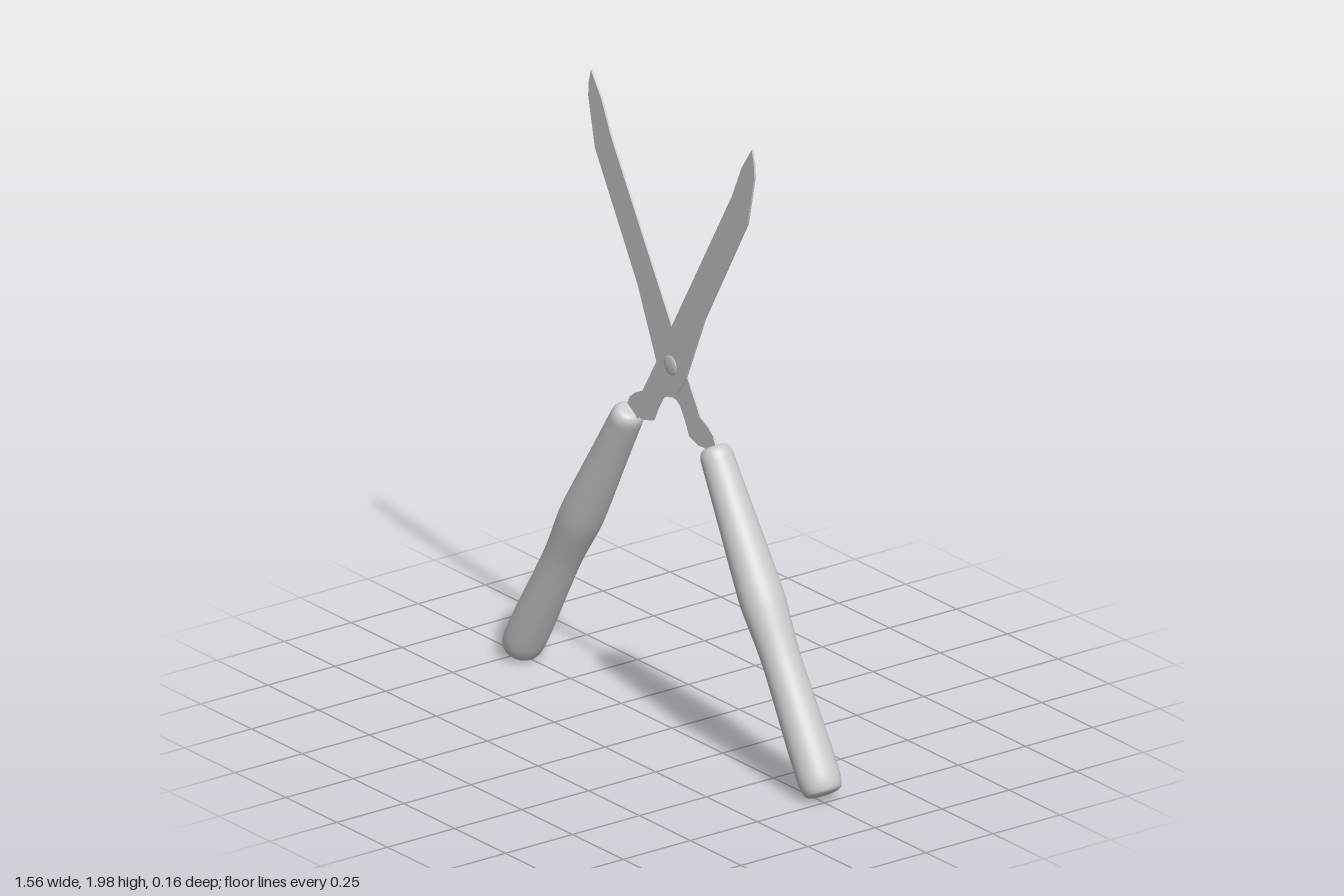
import * as THREE from 'three';

const grey = new THREE.MeshStandardMaterial({ color: 0xcccccc });

// Outline of one half: blade to the upper left side, tang to the lower right side
const BLADE = [
  [0.4, 2.0], [0.41, 1.96], [0.413, 1.915], [0.38, 1.757], [0.17, 1.387], [0.075, 1.165],
  [0.03, 1.095], [0, 1.08], [-0.022, 1.077], [-0.04, 1.064], [-0.063, 1.026],
  [-0.085, 0.98], [-0.13, 0.966], [-0.16, 0.968], [-0.22, 0.88], [-0.26, 0.91],
  [-0.217, 0.984], [-0.2, 1.02], [-0.175, 1.04], [-0.138, 1.058],
  [-0.074, 1.165], [0, 1.3], [0.302, 1.82], [0.35, 1.926],
];

// Handle profile: [radius, distance from the top end]
const GRIP = [
  [0, 0], [0.026, 0.001], [0.04, 0.01], [0.048, 0.03], [0.05, 0.07], [0.055, 0.2],
  [0.062, 0.36], [0.066, 0.47], [0.064, 0.53], [0.059, 0.61], [0.057, 0.68],
  [0.059, 0.8], [0.062, 0.92], [0.063, 1.01], [0.062, 1.045], [0.058, 1.068],
  [0.05, 1.083], [0.03, 1.09], [0, 1.092],
];

function part(name, geometry) {
  const mesh = new THREE.Mesh(geometry, grey);
  mesh.name = name;
  return mesh;
}

function makeHalf(name) {
  const half = new THREE.Group();
  half.name = name;

  // Thin steel plate: blade, pivot area and tang
  const shape = new THREE.Shape(BLADE.map(([x, y]) => new THREE.Vector2(x, y)));
  half.add(part('blade', new THREE.ExtrudeGeometry(shape, { depth: 0.006, bevelEnabled: false })));

  // Swelling grip, slightly deeper than wide
  const points = new THREE.SplineCurve(GRIP.map(([r, d]) => new THREE.Vector2(r, -d)))
    .getPoints(72).map((p) => new THREE.Vector2(Math.max(p.x, 0), p.y)).reverse();
  const handle = part('handle', new THREE.LatheGeometry(points, 40));
  handle.scale.z = 1.07;
  handle.position.set(-0.193, 0.983, 0.009);
  handle.rotation.z = -Math.PI / 6;
  half.add(handle);

  // Domed rivet head
  const rivet = part('rivetHead', new THREE.SphereGeometry(0.031, 28, 10, 0, Math.PI * 2, 0, Math.PI / 2));
  rivet.scale.y = 0.2;
  rivet.rotation.x = Math.PI / 2;
  rivet.position.set(0, 1.183, 0.006);
  half.add(rivet);
  return half;
}

export function createModel() {
  const model = new THREE.Group();
  model.name = 'hedgeShears';
  const front = makeHalf('frontHalf');
  const back = makeHalf('backHalf');
  back.rotation.y = Math.PI; // the second half is the first turned around
  model.add(front, back);
  return model;
}
